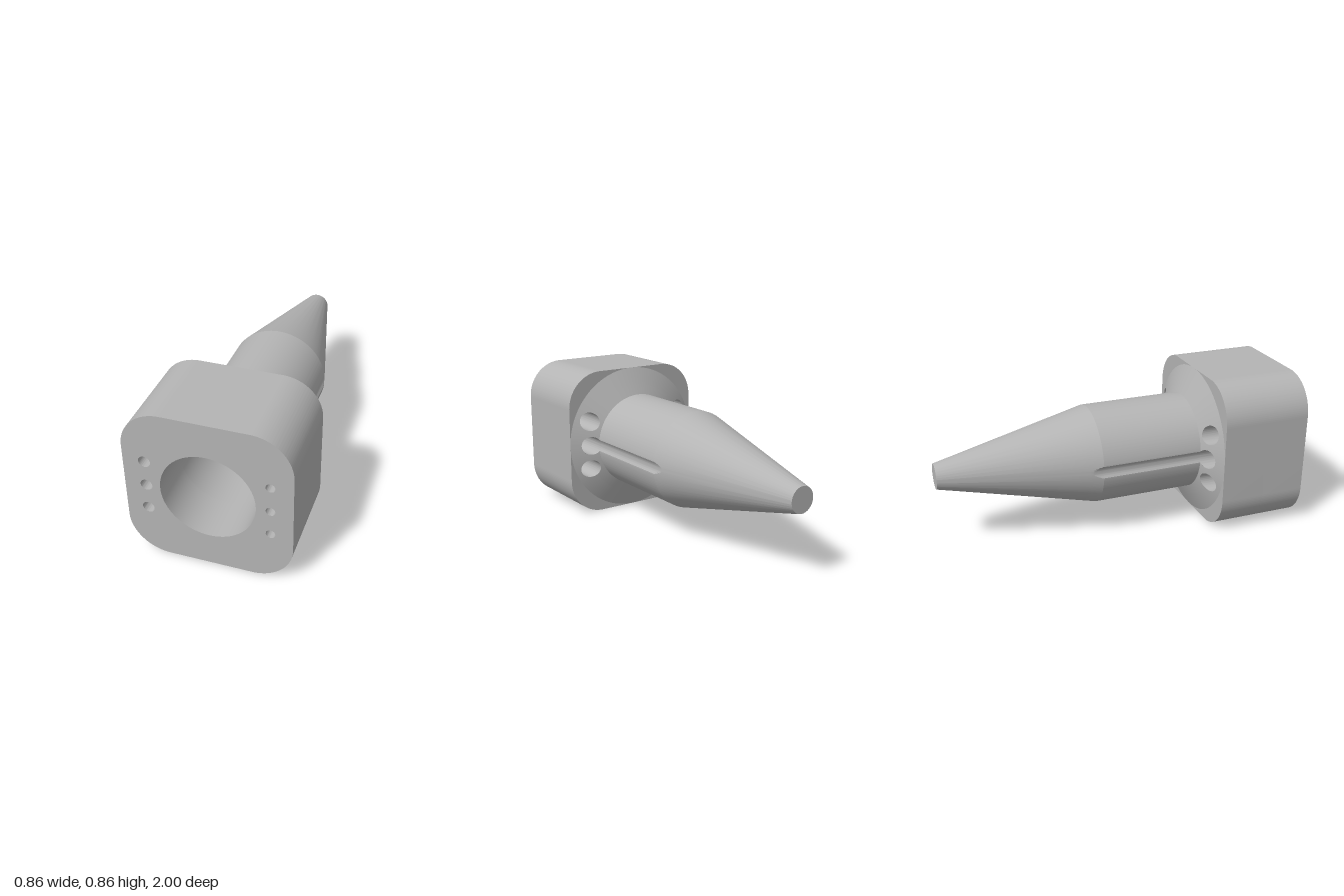
import * as THREE from 'three';
import { toCreasedNormals } from 'three/addons/utils/BufferGeometryUtils.js';

const HALF = 0.428;      // half width of the block, and outer radius of the shoulder
const SHAFT = 0.275;     // shaft radius
const BORE = 0.243;      // bore radius
const HOLE = 0.054;      // rear hole radius
const HX = 0.315, HY = 0.143;
const Z_BLOCK = 0.5, Z_SHOULDER = 0.43, Z_TAPER = -0.14, Z_STEP = 0.75;

// Three holes on each side; the middle ones carry on as grooves along the shaft
const holes = [];
for (const s of [1, -1]) for (const k of [-1, 0, 1]) {
  const x = s * HX, y = k * HY, c = Math.hypot(x, y);
  holes.push({ x, y, c, middle: k === 0, angle: Math.atan2(y, x), spread: Math.asin(HOLE / c) });
}

const offset = (t, h) => Math.atan2(Math.sin(t - h.angle), Math.cos(t - h.angle));

// Where a ray from the axis enters and leaves a hole
function cut(t, h) {
  const d = offset(t, h);
  if (Math.abs(d) > h.spread + 1e-9) return null;
  const mid = h.c * Math.cos(d);
  const half = Math.sqrt(Math.max(0, HOLE * HOLE - (h.c * Math.sin(d)) ** 2));
  return [mid - half, mid + half];
}

// Angles for every ring, denser across the holes
const angles = [];
for (let i = 0; i < 120; i++) {
  const t = (i / 120) * Math.PI * 2;
  if (!holes.some(h => Math.abs(offset(t, h)) < h.spread)) angles.push(t);
}
for (const h of holes) for (let i = 0; i <= 32; i++) {
  const t = h.angle + h.spread * Math.sin((i / 32 - 0.5) * Math.PI);
  angles.push((t + Math.PI * 2) % (Math.PI * 2));
}
angles.sort((a, b) => a - b);
angles.push(angles[0] + Math.PI * 2);

const polar = (r, t, z) => new THREE.Vector3(r * Math.cos(t), r * Math.sin(t), z);
const ring = (r, z) => angles.map(t => polar(typeof r === 'function' ? r(t) : r, t, z));

// Surface through rows of points, leaving out empty triangles
function loft(rows) {
  const pos = [], tri = new THREE.Triangle();
  const add = (a, b, c) => {
    if (tri.set(a, b, c).getArea() > 1e-9) for (const p of [a, b, c]) pos.push(p.x, p.y, p.z);
  };
  for (let i = 0; i + 1 < rows.length; i++) for (let j = 0; j + 1 < rows[i].length; j++) {
    const a = rows[i][j], b = rows[i][j + 1], c = rows[i + 1][j + 1], d = rows[i + 1][j];
    add(a, d, b);
    add(b, d, c);
  }
  const g = new THREE.BufferGeometry();
  g.setAttribute('position', new THREE.Float32BufferAttribute(pos, 3));
  return toCreasedNormals(g, 0.2);
}

// Rounded square slab with the bore and the side holes
function slab(z0, z1, holeRadius) {
  const r = 0.21, e = HALF - r, s = new THREE.Shape();
  s.absarc(e, e, r, 0, Math.PI / 2);
  s.absarc(-e, e, r, Math.PI / 2, Math.PI);
  s.absarc(-e, -e, r, Math.PI, Math.PI * 1.5);
  s.absarc(e, -e, r, Math.PI * 1.5, Math.PI * 2);
  s.closePath();
  const punch = (x, y, rad) => s.holes.push(new THREE.Path().absarc(x, y, rad, 0, Math.PI * 2, true));
  punch(0, 0, BORE);
  for (const h of holes) punch(h.x, h.y, holeRadius(h));
  const g = new THREE.ExtrudeGeometry(s, { depth: z1 - z0, bevelEnabled: false, curveSegments: 48 });
  g.translate(0, 0, z0);
  return toCreasedNormals(g, 0.2);
}

// Height of the conical shoulder at a radius
const shoulderZ = r => Z_BLOCK + (Z_SHOULDER - Z_BLOCK) *
  THREE.MathUtils.clamp((HALF - r) / (HALF - SHAFT), 0, 1);

export function createModel() {
  const model = new THREE.Group();
  const grey = new THREE.MeshStandardMaterial({ color: 0xb4b4b4, side: THREE.DoubleSide });
  grey.name = 'plain grey';
  const body = new THREE.Group();
  body.position.y = HALF;
  model.add(body);
  const add = (name, geometry) => {
    const m = new THREE.Mesh(geometry, grey);
    m.name = name;
    body.add(m);
  };

  // Block: narrow holes in front, wide holes behind
  add('blockFront', slab(Z_STEP, 1, h => (h.x > 0 ? 0.024 : 0.031)));
  add('blockRear', slab(Z_BLOCK, Z_STEP, () => HOLE));

  // Conical shoulder, in two bands that part around the holes
  const gap = t => {
    for (const h of holes) {
      const g = cut(t, h);
      if (g) return g.map(r => Math.max(r, SHAFT));
    }
    return [0.33, 0.33];
  };
  const onShoulder = f => angles.map(t => { const r = f(t); return polar(r, t, shoulderZ(r)); });
  add('shoulderOuter', loft([ring(HALF, Z_BLOCK), onShoulder(t => gap(t)[1])]));
  add('shoulderInner', loft([onShoulder(t => gap(t)[0]), ring(SHAFT, Z_SHOULDER)]));

  // Hole walls between the block and the shoulder
  for (const h of holes) {
    const rim = [], base = [];
    for (let i = 0; i <= 64; i++) {
      const a = (i / 64) * Math.PI * 2;
      const x = h.x + HOLE * Math.cos(a), y = h.y + HOLE * Math.sin(a);
      rim.push(new THREE.Vector3(x, y, shoulderZ(Math.hypot(x, y))));
      base.push(new THREE.Vector3(x, y, Z_BLOCK));
    }
    add('holeWall', loft([rim, base]));
  }

  // Grooved shaft running out into the tapered nose
  const grooved = R => t => {
    let r = R;
    for (const h of holes) {
      const g = h.middle && cut(t, h);
      if (g) r = Math.min(r, g[0]);
    }
    return r;
  };
  const TIP = 0.07;
  add('shaft', loft([ring(grooved(SHAFT), Z_SHOULDER), ring(grooved(SHAFT), Z_TAPER)]));
  const nose = [];
  for (let i = 0; i <= 10; i++) {
    const z = Z_TAPER - i * 0.009;
    nose.push(ring(grooved(THREE.MathUtils.mapLinear(z, Z_TAPER, -1, SHAFT, TIP)), z));
  }
  nose.push(ring(TIP, -1));
  add('nose', loft(nose));
  add('tip', loft([ring(TIP, -1), ring(0, -1)]));

  // Bore lining with its conical end
  add('bore', loft([ring(0, -0.97), ring(0.043, -0.97), ring(BORE, Z_TAPER), ring(BORE, Z_BLOCK)]));
  return model;
}
